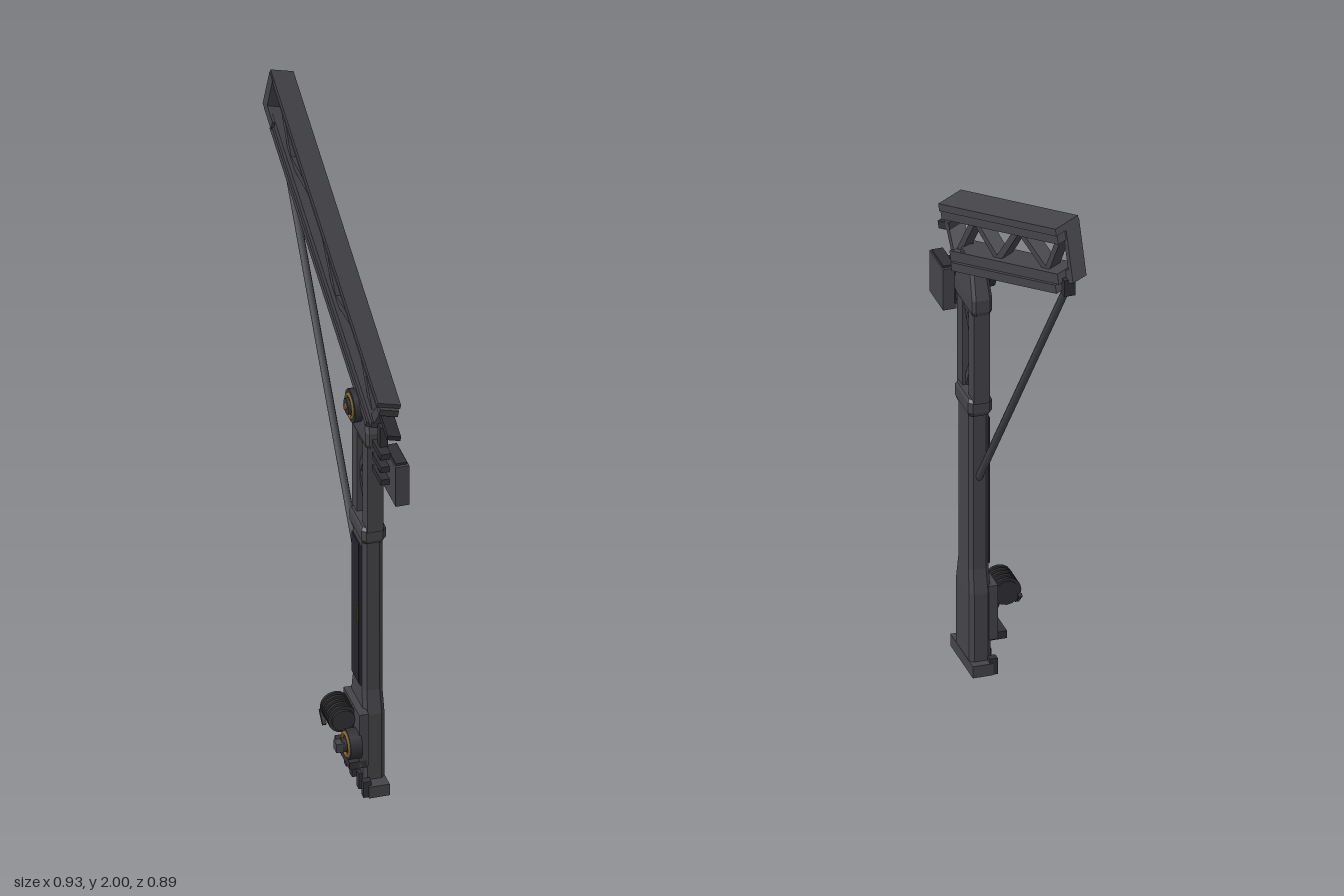
import * as THREE from 'three';

const mat = (name, color) => {
  const m = new THREE.MeshStandardMaterial({ color });
  m.name = name;
  return m;
};

export function createModel() {
  const steel = mat('dark steel', 0x454449);
  const dark = mat('machinery black', 0x303035);
  const panelMat = mat('panel blue black', 0x23232c);
  const brass = mat('aged brass', 0x7c6230);

  const model = new THREE.Group();
  model.name = 'jibCrane';
  // Crane frame: x runs along the jib, z out of the machinery side
  const crane = new THREE.Group();
  crane.name = 'crane';
  crane.rotation.y = -Math.PI / 4;
  model.add(crane);

  const add = (name, geo, material, parent = crane) => {
    const mesh = new THREE.Mesh(geo, material);
    mesh.name = name;
    parent.add(mesh);
    return mesh;
  };
  // Box from its low and high limits on each axis
  const block = (x0, x1, y0, y1, z0, z1) =>
    new THREE.BoxGeometry(x1 - x0, y1 - y0, z1 - z0)
      .translate((x0 + x1) / 2, (y0 + y1) / 2, (z0 + z1) / 2);
  // Flat bar between two points in the xy plane
  const bar = (x0, y0, x1, y1, width, depth, z = 0) =>
    new THREE.BoxGeometry(Math.hypot(x1 - x0, y1 - y0), width, depth)
      .rotateZ(Math.atan2(y1 - y0, x1 - x0))
      .translate((x0 + x1) / 2, (y0 + y1) / 2, z);
  const discZ = (x, y, z0, z1, r, sides = 20) =>
    new THREE.CylinderGeometry(r, r, z1 - z0, sides).rotateX(Math.PI / 2)
      .translate(x, y, (z0 + z1) / 2);

  // Chamfered rectangular column lofted through [y, width, depth] levels
  const loft = (cx, levels, c) => {
    const pos = [], idx = [];
    levels.forEach(([y, w, d]) => {
      const a = w / 2, b = d / 2;
      [[a, b - c], [a - c, b], [c - a, b], [-a, b - c], [-a, c - b], [c - a, -b], [a - c, -b], [a, c - b]]
        .forEach(([x, z]) => pos.push(cx + x, y, z));
    });
    for (let l = 0; l < levels.length - 1; l++) {
      for (let i = 0; i < 8; i++) {
        const p = l * 8 + i, q = l * 8 + (i + 1) % 8;
        idx.push(p, q, p + 8, q, q + 8, p + 8);
      }
    }
    const top = (levels.length - 1) * 8;
    for (let i = 1; i < 7; i++) {
      idx.push(0, i + 1, i, top, top + i, top + i + 1);
    }
    // x to z winding runs clockwise from above, so flip every face
    for (let i = 0; i < idx.length; i += 3) [idx[i + 1], idx[i + 2]] = [idx[i + 2], idx[i + 1]];
    const g = new THREE.BufferGeometry();
    g.setAttribute('position', new THREE.Float32BufferAttribute(pos, 3));
    g.setIndex(idx);
    const flat = g.toNonIndexed();
    flat.computeVertexNormals();
    return flat;
  };

  const mx = 0.335; // mast axis

  // Foot and mast
  add('footPlate', block(0.235, 0.45, 0, 0.04, -0.035, 0.03), steel);
  for (const x of [0.25, 0.31, 0.38, 0.43]) {
    add('footClamp', block(x - 0.012, x + 0.012, 0, 0.055, 0.02, 0.045), dark);
  }
  add('mast', loft(mx, [[0.03, 0.148, 0.068], [0.27, 0.148, 0.068], [0.35, 0.118, 0.064], [0.9, 0.118, 0.064]], 0.012), steel);
  add('frontPanel', block(0.285, 0.362, 0.36, 0.86, 0.03, 0.036), panelMat);
  add('panelRib', block(0.366, 0.376, 0.36, 0.86, 0.03, 0.036), dark);
  add('panelPlate', block(0.345, 0.355, 0.57, 0.63, 0.035, 0.038), brass);
  add('mastCollar', loft(mx, [[0.88, 0.13, 0.066], [0.895, 0.15, 0.076], [0.93, 0.15, 0.076], [0.94, 0.14, 0.066]], 0.012), steel);

  // Open lattice neck
  for (const s of [-1, 1]) {
    add('neckColumn', block(mx + s * 0.056 - 0.026, mx + s * 0.056 + 0.026, 0.93, 1.25, -0.025, 0.025), steel);
    add('neckBrace', bar(mx - 0.035, 1.085, mx + 0.035, 1.085 + s * 0.14, 0.018, 0.03), steel);
  }
  add('neckTie', block(mx - 0.04, mx + 0.04, 1.21, 1.25, -0.02, 0.02), steel);

  // Mast head and pivot
  add('mastHead', loft(mx, [[1.235, 0.17, 0.056], [1.25, 0.185, 0.064], [1.29, 0.185, 0.064], [1.37, 0.12, 0.056], [1.41, 0.1, 0.05]], 0.01), steel);
  add('pivotDisc', discZ(mx, 1.343, 0.025, 0.055, 0.053), dark);
  add('pivotRing', new THREE.TorusGeometry(0.036, 0.006, 6, 24).translate(mx, 1.343, 0.056), brass);
  add('pivotHub', discZ(mx, 1.343, 0.05, 0.068, 0.026), dark);
  add('pivotCap', discZ(mx, 1.343, 0.066, 0.074, 0.011, 8), brass);

  // Jib: x along its length, y across its depth, sides skewed in step
  const jib = new THREE.Group();
  jib.name = 'jib';
  jib.position.y = 1.545;
  jib.rotation.z = -0.423;
  crane.add(jib);
  const skew = new THREE.Matrix4().set(1, 0, 0, 0, 0, 1, 0.41, 0, 0, 0, 1, 0, 0, 0, 0, 1);
  const addJib = (name, geo, material = steel) => {
    geo.applyMatrix4(skew);
    geo.computeVertexNormals();
    return add(name, geo, material, jib);
  };
  addJib('topChordFlange', block(-0.685, 0.54, 0.15, 0.172, -0.038, 0.038));
  addJib('topChordWeb', block(-0.67, 0.55, 0.12, 0.152, -0.031, 0.031));
  addJib('bottomChordWeb', block(-0.62, 0.51, -0.005, 0.027, -0.031, 0.031));
  addJib('bottomChordFlange', block(-0.605, 0.49, -0.03, -0.004, -0.038, 0.038));
  addJib('tipPost', block(-0.685, -0.65, -0.012, 0.16, -0.005, 0.04));
  addJib('tipSpur', block(-0.67, -0.59, -0.015, 0.025, -0.005, 0.04));
  const joints = [[-0.64, 0.13], [-0.46, 0.02], [-0.21, 0.13], [0.05, 0.02], [0.25, 0.13], [0.46, 0.02]];
  for (let i = 0; i < joints.length - 1; i++) {
    addJib('jibDiagonal', bar(...joints[i], ...joints[i + 1], 0.026, 0.036));
  }
  addJib('heelPost', bar(0.535, 0.15, 0.49, 0, 0.03, 0.05));
  addJib('heelBracket', block(0.5, 0.615, 0.085, 0.108, -0.025, 0.02), dark);

  // Counter cabinet behind the heel with its bracket
  add('cabinet', block(0.48, 0.61, 1.14, 1.28, -0.048, -0.005), steel);
  add('cabinetLid', block(0.49, 0.6, 1.275, 1.287, -0.044, -0.009), dark);
  add('cabinetPost', block(0.475, 0.505, 1.16, 1.36, -0.012, 0.012), dark);
  for (const y of [1.19, 1.235, 1.28]) {
    add('cabinetClamp', block(0.455, 0.545, y - 0.01, y + 0.01, -0.01, 0.022), dark);
  }

  // Tie rod from jib tip to mast
  const from = new THREE.Vector3(-0.565, 1.77, 0), to = new THREE.Vector3(0.285, 0.66, 0);
  add('tieRod', new THREE.TubeGeometry(new THREE.LineCurve3(from, to), 1, 0.012, 8), steel);
  add('tieRodLug', block(-0.585, -0.545, 1.745, 1.8, -0.018, 0.018), dark);

  // Winch at the mast foot
  const winch = new THREE.Group();
  winch.name = 'winch';
  crane.add(winch);
  add('winchPlate', block(0.265, 0.43, 0.105, 0.29, 0.025, 0.055), steel, winch);
  add('winchShelf', block(0.27, 0.43, 0.1, 0.125, 0.03, 0.085), dark, winch);
  add('winchMotor', new THREE.CylinderGeometry(0.036, 0.036, 0.1, 16).rotateZ(Math.PI / 2).translate(0.335, 0.25, 0.09), dark, winch);
  for (let i = 0; i < 5; i++) {
    add('motorFin', new THREE.CylinderGeometry(0.046, 0.046, 0.009, 16).rotateZ(Math.PI / 2)
      .translate(0.292 + i * 0.02, 0.25, 0.09), dark, winch);
  }
  add('winchWheel', discZ(0.405, 0.178, 0.05, 0.088, 0.048), dark, winch);
  add('winchRing', new THREE.TorusGeometry(0.036, 0.007, 6, 24).translate(0.405, 0.178, 0.088), brass, winch);
  add('winchHub', discZ(0.405, 0.178, 0.085, 0.105, 0.022), dark, winch);
  add('crankBlock', block(0.395, 0.425, 0.165, 0.195, 0.1, 0.125), steel, winch);
  add('winchLever', bar(0.28, 0.235, 0.315, 0.2, 0.012, 0.012, 0.13), dark, winch);

  return model;
}
